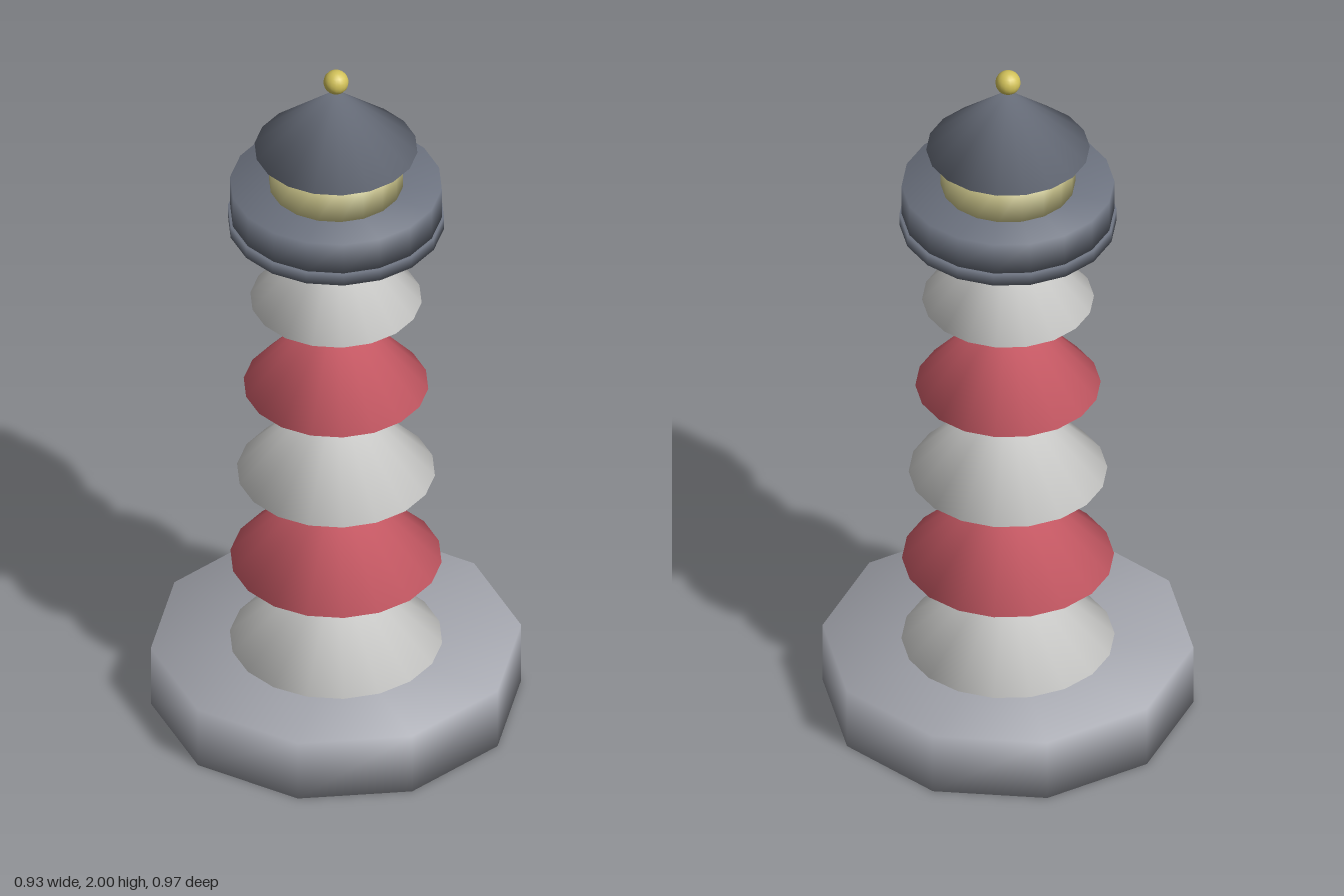
import * as THREE from 'three';
import { mergeVertices } from 'three/addons/utils/BufferGeometryUtils.js';

const SIDES = 18;

function paint(name, color) {
  const m = new THREE.MeshStandardMaterial({ color });
  m.name = name;
  return m;
}

// Weld rims so the shading runs softly over every edge
function soften(geometry) {
  geometry.deleteAttribute('normal');
  geometry.deleteAttribute('uv');
  const welded = mergeVertices(geometry, 1e-4);
  welded.computeVertexNormals();
  return welded;
}

export function createModel() {
  const model = new THREE.Group();
  model.name = 'lighthouse';

  const stone = paint('stone grey', 0xa3a5ad);
  const white = paint('white', 0xdededc);
  const red = paint('red', 0xd9626e);
  const slate = paint('slate', 0x6d7380);
  const glow = paint('lantern glow', 0xdcd596);
  const brass = paint('brass', 0xd2c25a);

  function add(name, geometry, material, y) {
    const mesh = new THREE.Mesh(geometry, material);
    mesh.name = name;
    mesh.position.y = y;
    model.add(mesh);
  }
  // Solid drum or cone standing between two heights
  function turned(name, rTop, rBottom, y0, y1, material, sides = SIDES) {
    const g = new THREE.CylinderGeometry(rTop, rBottom, y1 - y0, sides);
    add(name, soften(g), material, (y0 + y1) / 2);
  }

  // Ten-sided plinth
  turned('base', 0.487, 0.487, 0, 0.178, stone, 10);

  // Tower of stacked cones, alternating white and red
  const levels = [0.163, 0.438, 0.717, 0.995, 1.272, 1.52];
  for (let i = 0; i < 5; i++) {
    turned('towerCone' + (i + 1), 0, 0.295 - i * 0.0175, levels[i], levels[i + 1], i % 2 ? red : white);
  }

  // Gallery: thin lip under a slightly narrower drum
  turned('galleryLip', 0.284, 0.284, 1.515, 1.55, slate);
  turned('galleryDrum', 0.278, 0.278, 1.55, 1.642, slate);

  // Lantern room, roof and ball
  turned('lantern', 0.176, 0.176, 1.642, 1.757, glow);
  turned('roof', 0, 0.214, 1.755, 1.942, slate);
  add('finial', new THREE.SphereGeometry(0.033, 16, 12), brass, 1.967);

  return model;
}
